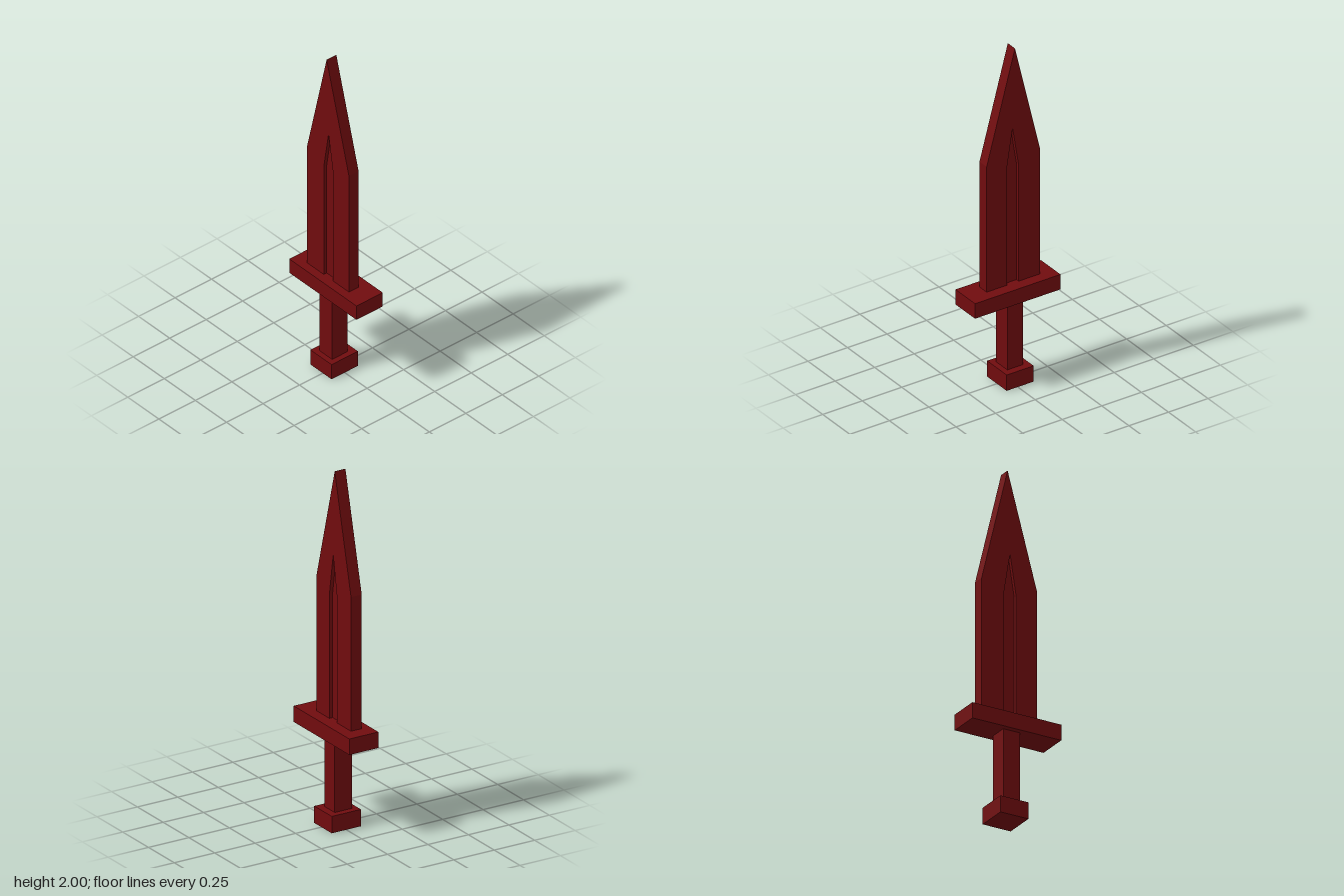
import * as THREE from 'three';

export function createModel() {
  const group = new THREE.Group();
  const material = new THREE.MeshStandardMaterial({ color: 0x700c0e, flatShading: true });

  const add = (name, geometry) => {
    const mesh = new THREE.Mesh(geometry, material);
    mesh.name = name;
    group.add(mesh);
  };

  // Box given by its minimum and maximum corners
  const box = (name, [x0, y0, z0], [x1, y1, z1]) => {
    const geometry = new THREE.BoxGeometry(x1 - x0, y1 - y0, z1 - z0);
    geometry.translate((x0 + x1) / 2, (y0 + y1) / 2, (z0 + z1) / 2);
    add(name, geometry);
  };

  // Flat outline extruded from z0 to z1
  const plate = (name, points, z0, z1) => {
    const shape = new THREE.Shape(points.map(([x, y]) => new THREE.Vector2(x, y)));
    const geometry = new THREE.ExtrudeGeometry(shape, { depth: z1 - z0, bevelEnabled: false });
    geometry.translate(0, 0, z0);
    add(name, geometry);
  };

  // Handle
  box('pommel', [-0.1, 0, -0.09], [0.07, 0.095, 0.09]);
  box('grip', [-0.063, 0.095, -0.048], [0.037, 0.5, 0.058]);
  box('guard', [-0.27, 0.5, -0.09], [0.27, 0.59, 0.09]);

  // Blade with a pointed slot, and a thinner panel that forms the groove floors
  const base = 0.57;
  const groove = [[0.025, base], [0.025, 1.29], [-0.012, 1.525], [-0.05, 1.29], [-0.05, base]];
  const outline = [[-0.185, base], [-0.185, 1.345], [-0.027, 2], [0.152, 1.345], [0.152, base]];
  plate('blade', [...outline, ...groove], -0.025, 0.041);
  plate('groovePanel', groove, -0.005, 0.021);

  return group;
}
